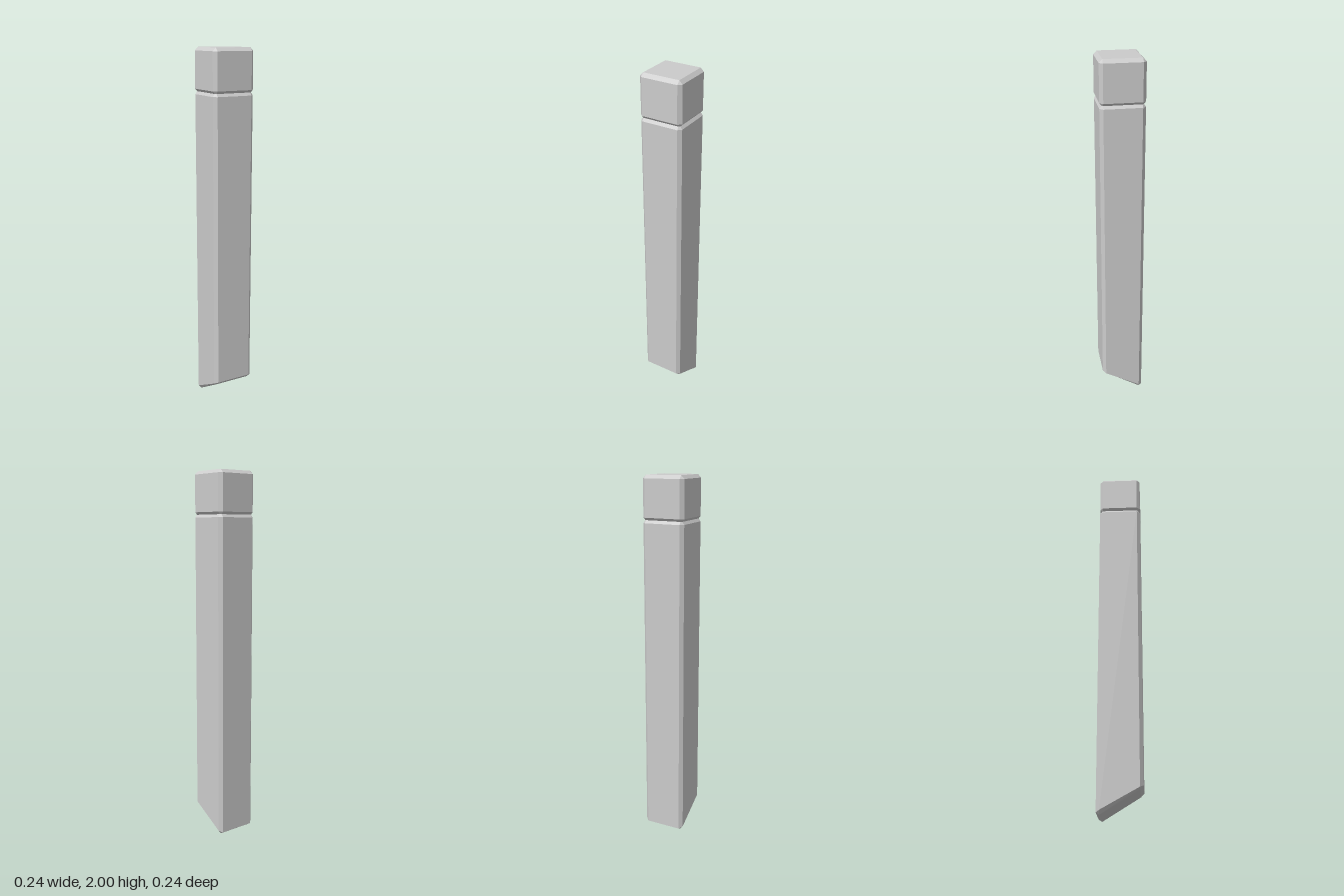
import * as THREE from 'three';

const HALF = 0.118;  // half width of the post
const INNER = 0.1;   // half width of the flat faces between the chamfers

// Chamfered square section; y may slope along z.
function ring(half, corner, y, slope = 0) {
  const h = half, c = corner;
  return [[h, c], [h, -c], [c, -h], [-c, -h], [-h, -c], [-h, c], [-c, h], [c, h]]
    .map(([x, z]) => new THREE.Vector3(x, y + slope * z, z));
}

// Closed flat-faced solid through a stack of sections, bottom to top.
function loft(rings) {
  const points = [];
  const tri = (a, b, c) => {
    const area = b.clone().sub(a).cross(c.clone().sub(a)).length();
    if (area > 1e-8) points.push(a, b, c);
  };
  for (let r = 0; r < rings.length - 1; r++) {
    const low = rings[r], high = rings[r + 1];
    for (let i = 0; i < 8; i++) {
      const j = (i + 1) % 8;
      tri(low[i], low[j], high[j]);
      tri(low[i], high[j], high[i]);
    }
  }
  const bottom = rings[0], top = rings[rings.length - 1];
  for (let i = 1; i < 7; i++) {
    tri(bottom[0], bottom[i + 1], bottom[i]);
    tri(top[0], top[i], top[i + 1]);
  }
  const geometry = new THREE.BufferGeometry().setFromPoints(points);
  geometry.computeVertexNormals();
  return geometry;
}

export function createModel() {
  const model = new THREE.Group();
  model.name = 'post';
  const material = new THREE.MeshStandardMaterial({ color: 0xcccccc, flatShading: true });
  const add = (name, rings) => {
    const mesh = new THREE.Mesh(loft(rings), material);
    mesh.name = name;
    model.add(mesh);
  };

  // Long shaft with a slanted, chamfered foot
  add('shaft', [
    ring(INNER, INNER, 0.061, 0.61),
    ring(HALF, INNER, 0.076, 0.55),
    ring(HALF, INNER, 1.757),
    ring(0.107, INNER, 1.772),
  ]);

  // Short head block above the groove
  add('head', [
    ring(0.107, INNER, 1.772),
    ring(HALF, INNER, 1.785),
    ring(HALF, INNER, 1.982),
    ring(INNER, INNER, 2),
  ]);

  return model;
}
